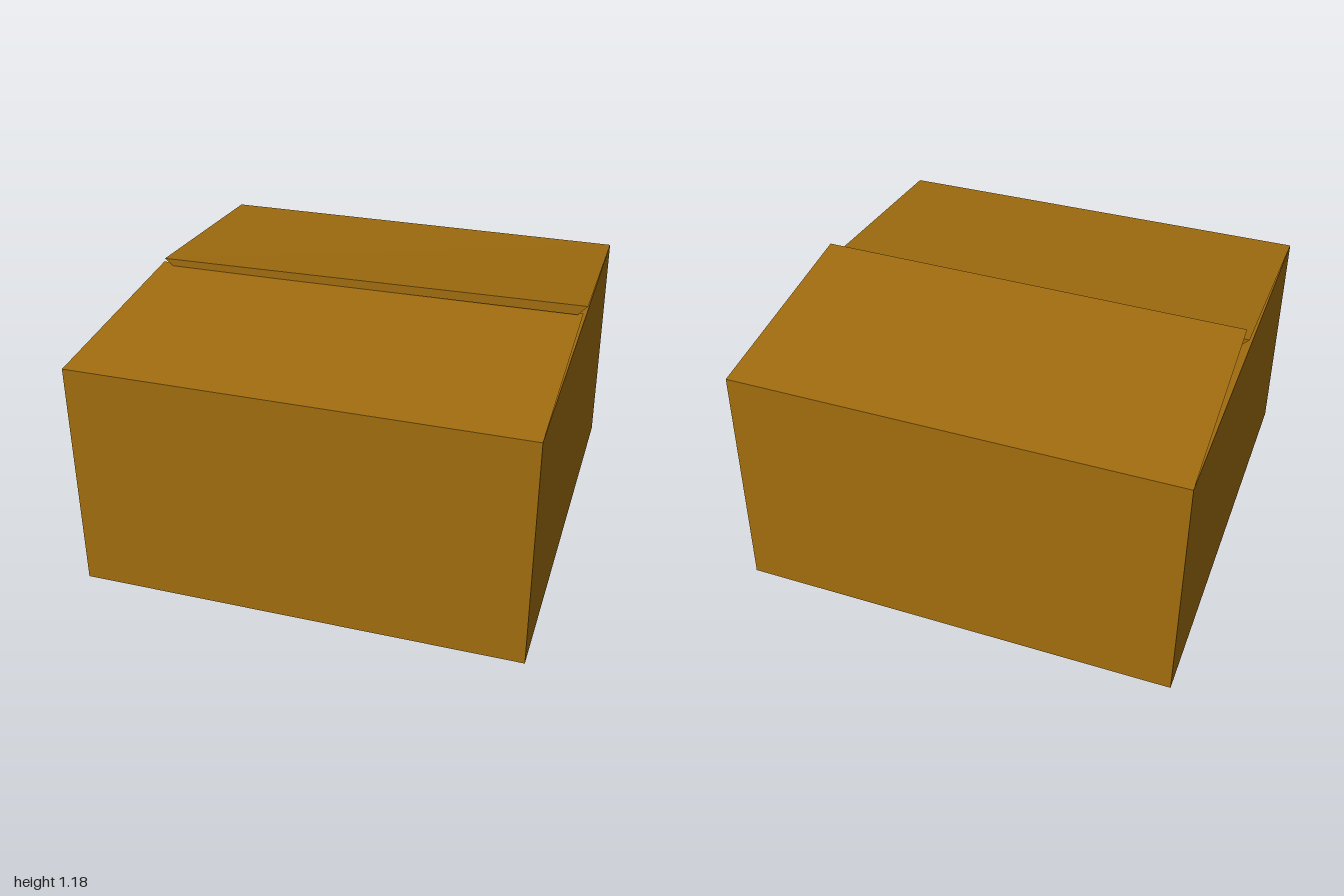
import * as THREE from 'three';

const T = 0.04; // board thickness

// Solid board between an outer quad (counter-clockwise from outside) and an inner quad.
function board(name, outer, inner, material) {
  const pos = [];
  const quad = (a, b, c, d) => pos.push(...a, ...b, ...c, ...a, ...c, ...d);
  quad(...outer);
  quad(inner[3], inner[2], inner[1], inner[0]);
  for (let i = 0; i < 4; i++) {
    const j = (i + 1) % 4;
    quad(outer[j], outer[i], inner[i], inner[j]);
  }
  const geometry = new THREE.BufferGeometry();
  geometry.setAttribute('position', new THREE.Float32BufferAttribute(pos, 3));
  geometry.computeVertexNormals();
  const mesh = new THREE.Mesh(geometry, material);
  mesh.name = name;
  return mesh;
}

export function createModel() {
  const cardboard = new THREE.MeshStandardMaterial({ color: 0xa06c0e });
  cardboard.name = 'cardboard';
  const group = new THREE.Group();
  group.name = 'cardboardBox';
  const add = (name, outer, inner) => group.add(board(name, outer, inner, cardboard));

  // Box corners, front left of the view first, counter-clockwise from above
  const L = -1, R = 0.98;
  const base = [[L, 0, 0.99], [R, 0, 0.99], [R, 0, -0.99], [L, 0, -0.99]];
  const rim = [[L, 1.05, 0.985], [R, 1.05, 0.985], [R, 1.08, -0.955], [L, 1.08, -0.955]];
  const inset = (p, dy) => [p[0] - Math.sign(p[0]) * T, p[1] + dy, p[2] - Math.sign(p[2]) * T];
  const baseIn = base.map(p => inset(p, T));
  const rimIn = rim.map(p => inset(p, 0));

  // Four mitred walls and the floor
  ['frontWall', 'leftWall', 'backWall', 'rightWall'].forEach((name, i) => {
    const j = (i + 1) % 4;
    add(name, [base[i], base[j], rim[j], rim[i]], [baseIn[i], baseIn[j], rimIn[j], rimIn[i]]);
  });
  add('floor', [...base].reverse(), [...baseIn].reverse());

  // Side flaps folded in under the top
  const drop = (p, dy) => [p[0], p[1] + dy, p[2]];
  const mid = (p, dy) => [-0.01, p[1] + dy, p[2]];
  const [a, b, c, d] = rimIn;
  const sideFlap = (name, q) => add(name, q, q.map(p => drop(p, -T)));
  sideFlap('rightSideFlap', [drop(a, -0.005), mid(a, -0.03), mid(d, -0.03), drop(d, -0.005)]);
  sideFlap('leftSideFlap', [mid(b, -0.03), drop(b, -0.005), drop(c, -0.005), mid(c, -0.03)]);

  // Large flaps, raised at their free edges, with bevelled undersides
  add('frontFlap',
    [rim[0], rim[1], [R, 1.13, 0], [L, 1.13, 0]],
    [inset(rim[0], -T), inset(rim[1], -T), [R - T, 1.087, 0], [L + T, 1.087, 0]]);
  add('backFlap',
    [[-0.98, 1.16, 0.03], [1, 1.18, 0.03], rim[2], rim[3]],
    [[-0.94, 1.125, 0.03], [0.96, 1.135, 0.03], inset(rim[2], -T), inset(rim[3], -T)]);

  return group;
}
